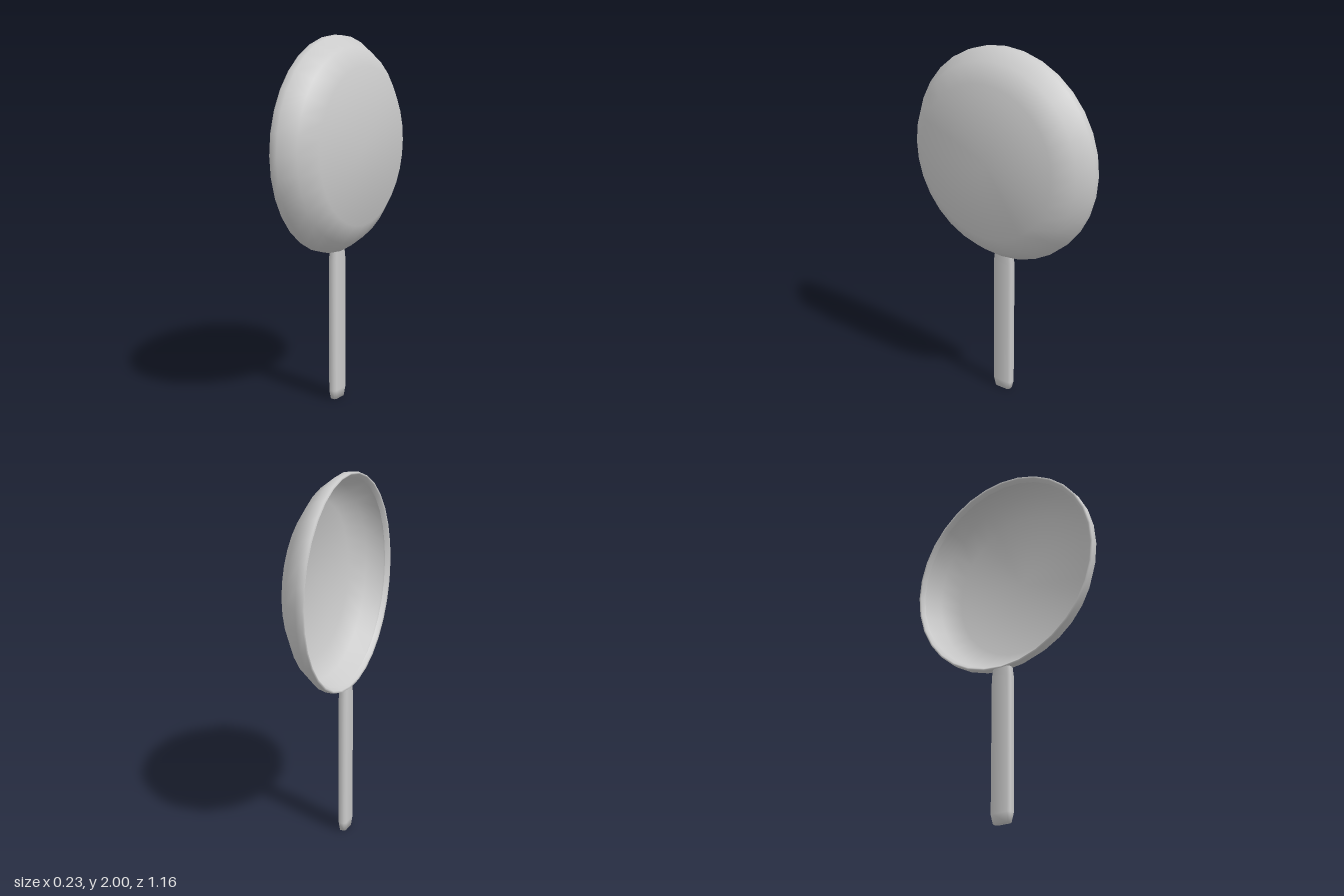
import * as THREE from 'three';

const material = new THREE.MeshStandardMaterial({ color: 0xcccccc, side: THREE.DoubleSide });
const toPoints = (profile) => profile.map(([r, h]) => new THREE.Vector2(r, h));

// Turned surface whose normals are the even average of neighbouring profile segments
function turned(name, profile, sides) {
  const points = toPoints(profile);
  const geometry = new THREE.LatheGeometry(points, sides);
  const segments = points.slice(1).map((p, j) => new THREE.Vector2(p.y - points[j].y, points[j].x - p.x).normalize());
  points.forEach((p, j) => {
    const n = new THREE.Vector2();
    if (j > 0) n.add(segments[j - 1]);
    if (j < segments.length) n.add(segments[j]);
    n.normalize();
    if (p.x === 0) n.set(0, Math.sign(n.y));
    for (let i = 0; i <= sides; i++) {
      const a = (i / sides) * Math.PI * 2;
      geometry.attributes.normal.setXYZ(i * points.length + j, n.x * Math.sin(a), n.y, n.x * Math.cos(a));
    }
  });
  const mesh = new THREE.Mesh(geometry, material);
  mesh.name = name;
  return mesh;
}

// Flat bar with soft chamfered corners, tapered at both ends
function makeHandle() {
  const profile = [[0, 0], [0.8, 0], [1, 0.05], [1, 0.79], [0.9, 0.84], [0, 0.84]];
  const geometry = new THREE.LatheGeometry(toPoints(profile), 8, Math.PI / 8);
  const { position, normal } = geometry.attributes;
  const n = new THREE.Vector3();
  for (let i = 0; i < position.count; i++) {
    const x = position.getX(i), y = position.getY(i), z = position.getZ(i), r = Math.hypot(x, z);
    if (r < 0.01) continue;
    const wide = Math.abs(x) > Math.abs(z);
    const sx = Math.sign(x), sz = Math.sign(z);
    position.setX(i, sx * r * (wide ? 0.0235 : 0.0155));
    position.setZ(i, sz * r * (wide ? 0.044 : 0.06));
    n.set(sx * (wide ? 0.94 : 0.5), y < 0.01 ? -1 : 0, sz * (wide ? 0.34 : 0.86)).normalize();
    normal.setXYZ(i, n.x, n.y, n.z);
  }
  const mesh = new THREE.Mesh(geometry, material);
  mesh.name = 'handle';
  return mesh;
}

export function createModel() {
  const model = new THREE.Group();
  model.name = 'fryingPan';
  const yaw = 0.034;

  // Dish: thin sheet with its axis along x, open towards -x, and a lip turned inwards
  const dish = new THREE.Group();
  dish.name = 'dish';
  dish.add(turned('bowlAndLip', [
    [0.555, 0.025], [0.57, 0.005], [0.578, 0], [0.582, 0.008],
    [0.582, 0.045], [0.522, 0.127], [0.422, 0.197], [0, 0.197],
  ], 32));
  dish.rotation.set(0, yaw, -Math.PI / 2, 'YXZ');
  dish.position.set(-0.096, 1.418, 0);
  model.add(dish);

  // Handle
  const handle = makeHandle();
  handle.rotation.y = yaw;
  handle.position.set(-0.071, 0, -0.005);
  model.add(handle);

  return model;
}
